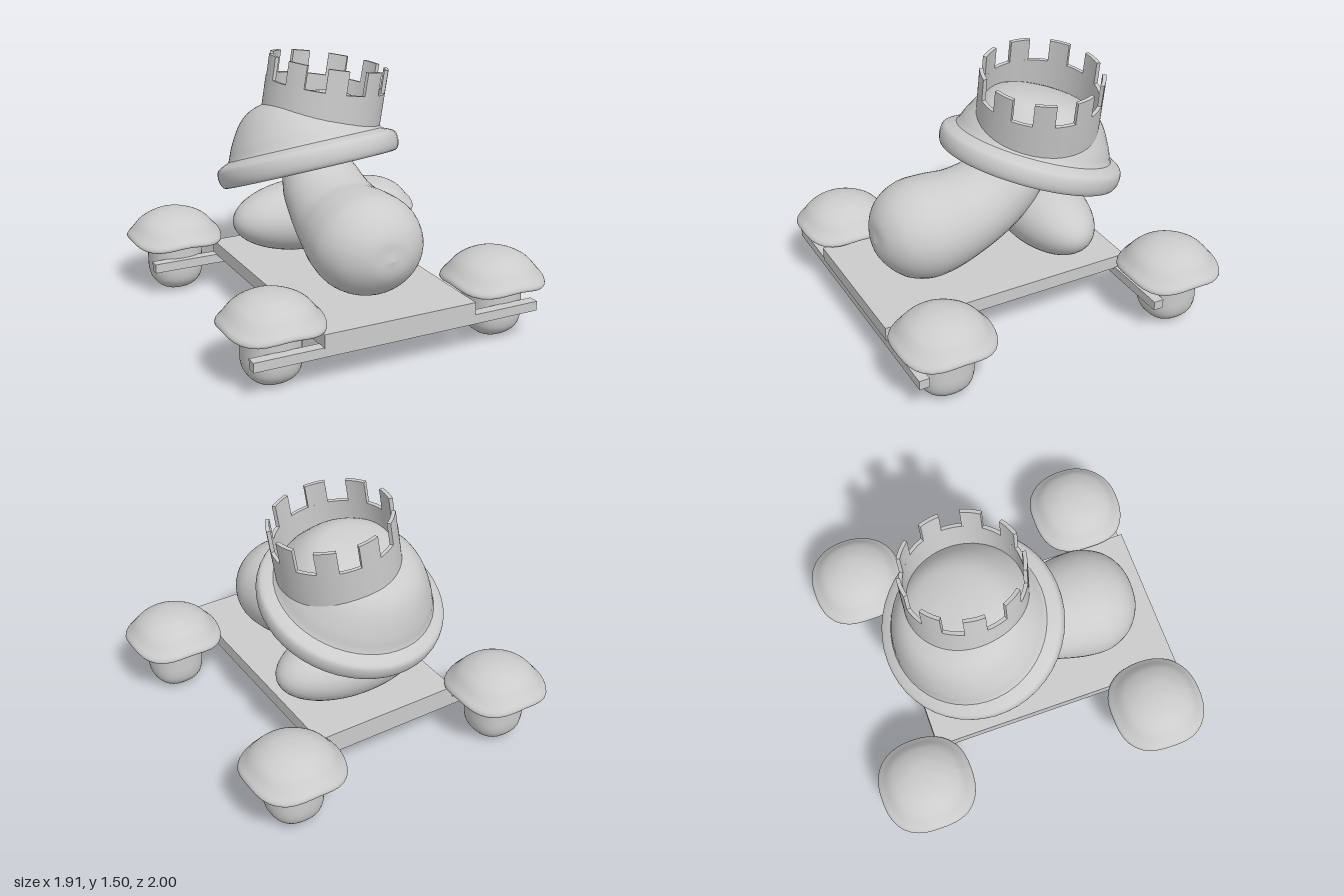
import * as THREE from 'three';
import { ParametricGeometry } from 'three/addons/geometries/ParametricGeometry.js';

const material = new THREE.MeshStandardMaterial({ color: 0xcccccc });

function add(parent, name, geometry, x = 0, y = 0, z = 0) {
  const mesh = new THREE.Mesh(geometry, material);
  mesh.name = name;
  mesh.position.set(x, y, z);
  parent.add(mesh);
  return mesh;
}

// Turned solid from a few profile points [radius, height], bottom to top
function turned(points, sides = 40) {
  const curve = new THREE.SplineCurve(points.map(([r, y]) => new THREE.Vector2(r, y)));
  const profile = curve.getPoints(points.length * 4);
  profile.forEach((p) => { p.x = Math.max(p.x, 0); });
  return new THREE.LatheGeometry(profile, sides);
}

// Push a round solid towards a rounded square; its corners droop a little
function squared(geometry, power, droop = 0, radius = 1) {
  const pos = geometry.attributes.position;
  for (let i = 0; i < pos.count; i++) {
    const x = pos.getX(i), z = pos.getZ(i), r = Math.hypot(x, z);
    if (r < 1e-5) continue;
    const c = Math.abs(x / r), s = Math.abs(z / r);
    const k = Math.pow(c ** power + s ** power, -1 / power);
    const fall = droop * (2 * c * s) ** 2 * (r / radius) ** 2;
    pos.setXYZ(i, x * k, pos.getY(i) - fall, z * k);
  }
  geometry.computeVertexNormals();
  return geometry;
}

// Ring sector standing on y = y0; angles run from the front towards +x
function ringSector(inner, outer, mid, half, y0, height) {
  const a = mid - half - Math.PI / 2, b = mid + half - Math.PI / 2;
  const shape = new THREE.Shape();
  shape.absarc(0, 0, outer, a, b, false);
  shape.absarc(0, 0, inner, b, a, true);
  return new THREE.ExtrudeGeometry(shape, { depth: height, bevelEnabled: false, curveSegments: 6 })
    .rotateX(-Math.PI / 2).translate(0, y0, 0);
}

// Bean-shaped body swept through [z, y, radius] stations
function bodyGeometry() {
  const stations = [
    [0.8, 0.565, 0.001], [0.775, 0.565, 0.12], [0.69, 0.57, 0.225], [0.56, 0.577, 0.28],
    [0.42, 0.588, 0.28], [0.24, 0.62, 0.25], [0.07, 0.69, 0.225], [-0.07, 0.79, 0.2],
    [-0.18, 0.88, 0.14], [-0.23, 0.92, 0.001],
  ];
  const path = new THREE.CatmullRomCurve3(stations.map((s) => new THREE.Vector3(...s)));
  return new ParametricGeometry((u, v, target) => {
    const p = path.getPoint(v), t = path.getTangent(v);
    const length = Math.hypot(t.x, t.y) || 1;
    const angle = -u * Math.PI * 2, r = Math.max(p.z, 0.001);
    const side = Math.cos(angle) * r * 1.12, up = Math.sin(angle) * r;
    target.set(side, p.y - (t.x / length) * up, p.x + (t.y / length) * up);
  }, 40, 48);
}

function addWheel(parent, x, z) {
  const wheel = new THREE.Group();
  wheel.name = 'mushroomWheel';
  wheel.position.set(x, 0, z);
  const stem = turned([[0, 0.005], [0.08, 0.015], [0.135, 0.06], [0.157, 0.12], [0.16, 0.22], [0.16, 0.35]], 32);
  add(wheel, 'wheelStem', squared(stem, 2.4));
  const cap = turned([
    [0, 0.335], [0.14, 0.335], [0.25, 0.33], [0.274, 0.338], [0.272, 0.36], [0.245, 0.39],
    [0.195, 0.445], [0.12, 0.485], [0.05, 0.5], [0, 0.502],
  ]);
  add(wheel, 'wheelCap', squared(cap, 2.5, 0.022, 0.275));
  parent.add(wheel);
}

export function createModel() {
  const model = new THREE.Group();
  model.name = 'mushroomCart';

  // Cart
  add(model, 'board', new THREE.BoxGeometry(0.91, 0.08, 1.53), -0.023, 0.268, 0.175);
  for (const z of [-0.56, 0.905]) {
    add(model, 'axle', new THREE.BoxGeometry(1.71, 0.055, 0.06), -0.015, 0.206, z);
  }
  for (const x of [-0.68, 0.68]) for (const z of [-0.725, 0.72]) addWheel(model, x, z);

  // Rider's body and the wide rounded seat part behind it
  add(model, 'body', bodyGeometry(), -0.01, 0, 0);
  add(model, 'hindBody', new THREE.SphereGeometry(1, 40, 28).scale(0.48, 0.212, 0.245), 0.01, 0.517, -0.255);

  // Tilted hat: shallow hollow underneath, thick rim, dome on top
  const hat = new THREE.Group();
  hat.name = 'hat';
  hat.position.set(-0.015, 0.865, -0.2);
  hat.rotation.set(-0.35, 0, 0.08);
  add(hat, 'hatBrim', turned([
    [0, 0.04], [0.25, 0.03], [0.42, -0.01], [0.475, -0.055], [0.52, -0.055], [0.54, -0.01],
    [0.535, 0.045], [0.5, 0.07], [0.45, 0.09],
  ], 48));
  add(hat, 'hatDome', turned([
    [0.48, 0.06], [0.455, 0.1], [0.425, 0.17], [0.365, 0.27], [0.3, 0.335],
    [0.22, 0.37], [0.1, 0.392], [0, 0.395],
  ], 48));
  model.add(hat);

  // Crown: ring wall with nine battlements, leaning to its left
  const crown = new THREE.Group();
  crown.name = 'crown';
  crown.position.set(0.097, 1.31, -0.2);
  crown.rotation.z = -0.165;
  const inner = 0.328, outer = 0.35, step = (Math.PI * 2) / 9;
  for (let i = 0; i < 9; i++) {
    const angle = THREE.MathUtils.degToRad(23) + i * step;
    add(crown, 'crownWall', ringSector(inner, outer, angle, step / 2, -0.27, 0.27));
    add(crown, 'battlement', ringSector(inner, outer, angle, 0.175, 0, 0.135));
  }
  model.add(crown);

  return model;
}
